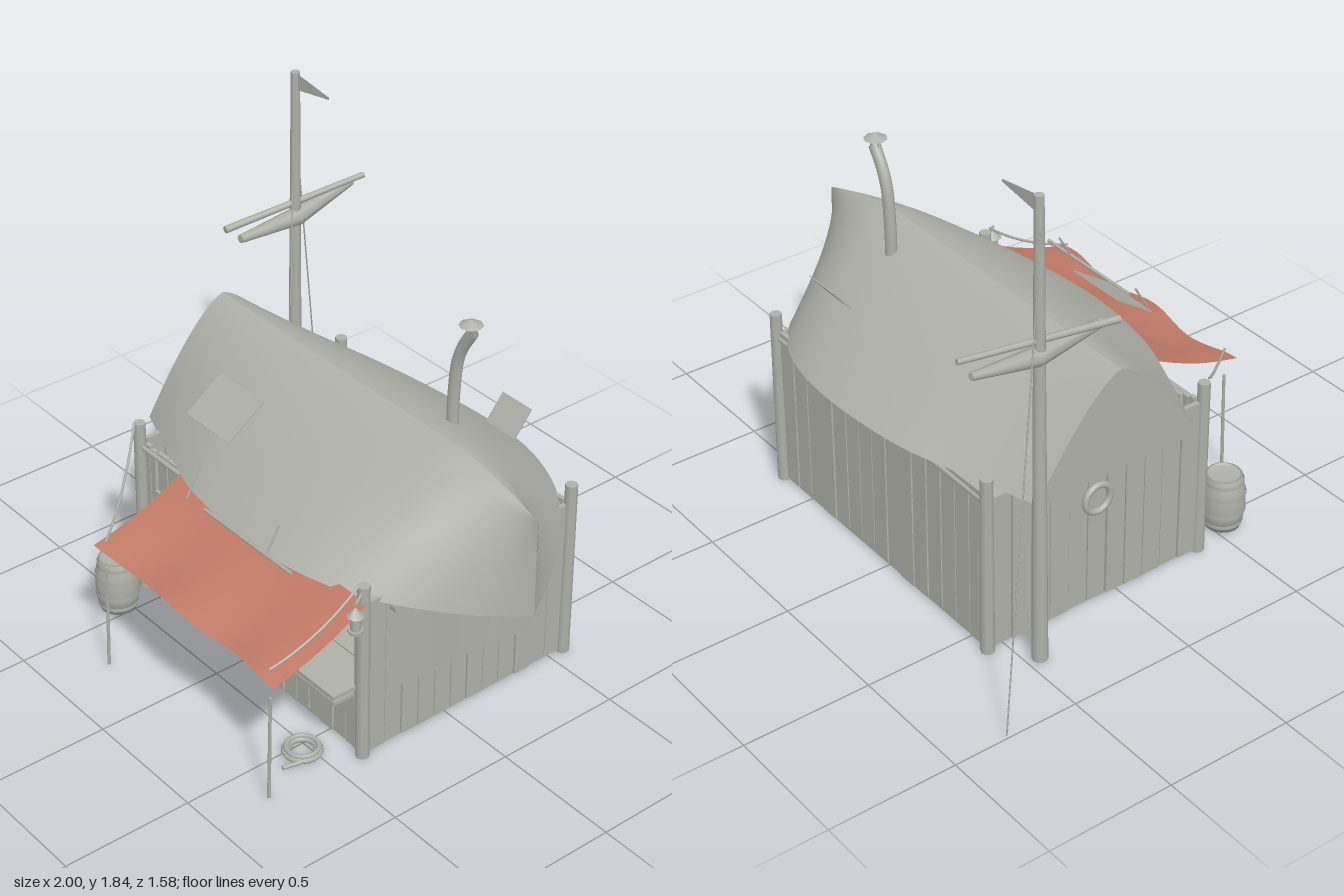
import * as THREE from 'three';

const grey = new THREE.MeshStandardMaterial({ name: 'weathered grey', color: 0xb0b0aa, side: THREE.DoubleSide });
const clay = new THREE.MeshStandardMaterial({ name: 'terracotta cloth', color: 0xc07a66, side: THREE.DoubleSide });
const V = (x, y, z) => new THREE.Vector3(x, y, z);

let seed = 7;
const rand = () => (seed = (seed * 16807) % 2147483647) / 2147483647;

function add(parent, name, geo, x = 0, y = 0, z = 0, mat = grey) {
  const m = new THREE.Mesh(geo, mat);
  m.name = name;
  m.position.set(x, y, z);
  parent.add(m);
  return m;
}
const box = (p, name, w, h, d, x, y, z) => add(p, name, new THREE.BoxGeometry(w, h, d), x, y, z);

// straight round bar between two points
function rod(p, name, a, b, r0, r1 = r0, sides = 8) {
  const d = b.clone().sub(a);
  const m = add(p, name, new THREE.CylinderGeometry(r1, r0, d.length(), sides));
  m.position.copy(a).lerp(b, 0.5);
  m.quaternion.setFromUnitVectors(V(0, 1, 0), d.normalize());
  return m;
}
function group(parent, name) {
  const g = new THREE.Group();
  g.name = name;
  parent.add(g);
  return g;
}
// surface from a rule f(u, v) on a grid
function sheet(f, nu, nv, flip = false) {
  const pos = [], idx = [];
  for (let i = 0; i <= nu; i++) for (let j = 0; j <= nv; j++) pos.push(...f(i / nu, j / nv));
  for (let i = 0; i < nu; i++) for (let j = 0; j < nv; j++) {
    const a = i * (nv + 1) + j, b = a + nv + 1;
    if (flip) idx.push(a, b, a + 1, b, b + 1, a + 1);
    else idx.push(a, a + 1, b, b, a + 1, b + 1);
  }
  const g = new THREE.BufferGeometry();
  g.setAttribute('position', new THREE.Float32BufferAttribute(pos, 3));
  g.setIndex(idx);
  g.computeVertexNormals();
  return g;
}
// row of uneven upright planks along x or z
function planks(parent, name, from, to, n, y0, y1, fixed, alongX) {
  const g = group(parent, name), w = (to - from) / n;
  for (let i = 0; i < n; i++) {
    const h = y1 - y0 - rand() * 0.02, c = from + (i + 0.5) * w, pw = w - 0.003 - rand() * 0.004;
    const off = fixed + (rand() - 0.5) * 0.008;
    if (alongX) box(g, 'plank', pw, h, 0.018, c, y0 + h / 2, off);
    else box(g, 'plank', 0.018, h, pw, off, y0 + h / 2, c);
  }
}

function buildHull(root) {
  const g = group(root, 'upturnedHull');
  // each station: x, height of the rim, half width
  const stations = new THREE.CatmullRomCurve3([
    V(-0.72, 0.64, 0.35), V(-0.4, 0.66, 0.475), V(-0.185, 0.67, 0.545), V(0.19, 0.675, 0.58),
    V(0.455, 0.665, 0.54), V(0.67, 0.64, 0.43), V(0.885, 0.59, 0.19), V(1, 0.563, 0.003)]);
  const at = (t, u, s) => {
    const p = stations.getPoint(t);
    const top = 1.045 - 0.095 * Math.pow(Math.max(0, (p.x - 0.58) / 0.42), 1.6);
    return [p.x, p.y + (top - p.y) * (1 - Math.pow(u, 1.45)), -0.1 + s * p.z * u];
  };
  for (const s of [1, -1])
    add(g, s > 0 ? 'hullFrontSide' : 'hullBackSide', sheet((t, u) => at(t, u, s), 40, 16, s < 0));
  // flat stern board
  add(g, 'transom', sheet((k, u) => at(0, u, 1 - 2 * k), 2, 16, true));
  // loose patch and raised hatch
  const patch = box(g, 'hullPatch', 0.245, 0.004, 0.19, -0.208, 0.947, 0.28);
  patch.rotation.x = Math.atan2(0.11, 0.16);
  const hatch = box(g, 'raisedHatch', 0.15, 0.004, 0.12, 0.425, 0.92, -0.493);
  hatch.rotation.x = Math.atan2(0.092, 0.074);
}

function buildHut(root) {
  const g = group(root, 'hut');
  for (const x of [-0.598, 0.68]) for (const z of [0.38, -0.568])
    rod(g, 'cornerPost', V(x, 0, z), V(x, 0.73, z), 0.026, 0.023, 8);
  for (const z of [0.38, -0.568]) rod(g, 'topRail', V(-0.6, 0.63, z), V(0.68, 0.63, z), 0.01);
  for (let i = 0; i < 9; i++) box(g, 'floorPlank', 1.26, 0.014, 0.1, 0.04, 0.012, -0.515 + i * 0.105);
  planks(g, 'backWall', -0.58, 0.66, 15, 0.01, 0.66, -0.56, true);
  planks(g, 'rightWall', -0.55, 0.36, 12, 0.01, 0.66, 0.675, false);
  planks(g, 'sternWall', -0.55, 0.36, 11, 0.01, 0.66, -0.595, false);
  planks(g, 'counterFront', -0.25, 0.66, 13, 0.01, 0.27, 0.37, true);
  planks(g, 'doorSidePlanks', -0.57, -0.51, 2, 0.01, 0.66, 0.37, true);
  planks(g, 'door', -0.51, -0.27, 4, 0.01, 0.65, 0.36, true);
  box(g, 'doorPost', 0.025, 0.64, 0.03, -0.26, 0.33, 0.37);
  box(g, 'windowPost', 0.025, 0.64, 0.03, 0.65, 0.33, 0.37);
  for (const y of [0.075, 0.465]) box(g, 'doorBatten', 0.24, 0.025, 0.012, -0.39, y, 0.377);
  add(g, 'doorPorthole', new THREE.TorusGeometry(0.033, 0.009, 8, 20), -0.39, 0.375, 0.378);
  const ring = add(g, 'sternPorthole', new THREE.TorusGeometry(0.055, 0.013, 8, 20), -0.61, 0.45, -0.1);
  ring.rotation.y = Math.PI / 2;
  // serving counter and its crates
  box(g, 'counterTop', 0.9, 0.018, 0.12, 0.2, 0.28, 0.425);
  box(g, 'counterLedge', 0.88, 0.016, 0.09, 0.2, 0.247, 0.43);
  for (const x of [-0.015, 0.22]) {
    box(g, 'crateBase', 0.14, 0.04, 0.06, x, 0.31, 0.445);
    box(g, 'crateLid', 0.16, 0.014, 0.07, x, 0.343, 0.445);
  }
  // cloth sheet pinned to the right wall
  add(g, 'wallSheet', sheet((u, v) => {
    const z = 0.27 - 0.69 * u + (u - 0.5) * 0.06 * v;
    return [0.696 + 0.004 * Math.sin(u * 9), 0.63 - v * (0.385 + 0.045 * u) - 0.02 * Math.sin(u * Math.PI) * (1 - v), z];
  }, 10, 6));
  for (const z of [0.245, -0.37]) rod(g, 'sheetPin', V(0.68, 0.595, z), V(0.712, 0.595, z), 0.024, 0.024, 10);
}

function buildAwning(root) {
  const g = group(root, 'awningAssembly');
  add(g, 'awning', sheet((u, v) => [
    -0.32 + 1.025 * u,
    0.67 - 0.16 * v - 0.018 * Math.sin(v * Math.PI) + 0.01 * v * Math.cos(u * 14),
    0.385 + 0.39 * v + 0.012 * v * Math.cos(u * 13)], 24, 8, true), 0, 0, 0, clay);
  const rope = (name, a, mid, b) =>
    add(g, name, new THREE.TubeGeometry(new THREE.QuadraticBezierCurve3(a, mid, b), 12, 0.005, 6));
  rope('awningRope', V(-0.6, 0.74, 0.4), V(-0.43, 0.58, 0.57), V(-0.28, 0.55, 0.76));
  rope('awningRope', V(0.68, 0.74, 0.4), V(0.68, 0.6, 0.57), V(0.655, 0.55, 0.76));
  for (const x of [-0.28, 0.66]) rod(g, 'awningPole', V(x, 0.01, 0.775), V(x, 0.435, 0.763), 0.007, 0.006, 6);
  // rail above the awning
  rod(g, 'awningRail', V(0, 0.735, 0.53), V(0.48, 0.735, 0.53), 0.007);
  for (const x of [-0.1, 0.345]) rod(g, 'railBracket', V(x, 0.73, 0.534), V(x, 0.83, 0.475), 0.004, 0.004, 6);
}

function buildMast(root) {
  const g = group(root, 'mastAssembly');
  rod(g, 'mast', V(-0.743, 0.005, -0.452), V(-0.723, 1.835, -0.452), 0.029, 0.017, 10);
  const flag = new THREE.Shape([new THREE.Vector2(0, 0.03), new THREE.Vector2(0, -0.035),
    new THREE.Vector2(0.18, -0.006), new THREE.Vector2(0.18, 0.004)]);
  add(g, 'pennant', new THREE.ShapeGeometry(flag), -0.712, 1.8, -0.452);
  rod(g, 'yard', V(-0.755, 1.277, -0.145), V(-0.7, 1.325, -0.757), 0.014, 0.011);
  // rolled sail, thickest in the middle
  const mid = V(-0.725, 1.24, -0.455);
  rod(g, 'furledSail', V(-0.703, 1.25, -0.175), mid, 0.016, 0.036);
  rod(g, 'furledSail', mid, V(-0.745, 1.285, -0.735), 0.036, 0.014);
  rod(g, 'outerStay', V(-0.74, 1.73, -0.455), V(-1, 0.015, -0.79), 0.003, 0.003, 5);
  rod(g, 'innerStay', V(-0.725, 1.62, -0.445), V(-0.6, 0.96, -0.325), 0.003, 0.003, 5);
}

function buildChimney(root) {
  const g = group(root, 'chimney');
  const path = new THREE.CatmullRomCurve3([V(0.418, 0.95, -0.232), V(0.42, 1.1, -0.232),
    V(0.435, 1.25, -0.232), V(0.46, 1.32, -0.232), V(0.505, 1.395, -0.232)]);
  add(g, 'stovePipe', new THREE.TubeGeometry(path, 20, 0.022, 10));
  for (const [dx, dz] of [[-0.018, 0], [0.018, 0], [0, 0.018], [0, -0.018]])
    rod(g, 'capLeg', V(0.5 + dx, 1.38, -0.232 + dz), V(0.498 + dx, 1.428, -0.232 + dz), 0.003, 0.003, 5);
  add(g, 'rainCap', new THREE.ConeGeometry(0.044, 0.022, 8), 0.497, 1.434, -0.232);
}

function buildProps(root) {
  const barrel = group(root, 'barrel');
  barrel.position.set(-0.545, 0.015, 0.545);
  const profile = [[0, 0], [0.068, 0], [0.08, 0.06], [0.083, 0.11], [0.08, 0.16], [0.068, 0.22], [0.06, 0.22], [0.06, 0.212], [0, 0.212]];
  add(barrel, 'barrelBody', new THREE.LatheGeometry(profile.map(p => new THREE.Vector2(...p)), 16));
  for (const [y, r] of [[0.025, 0.075], [0.075, 0.084], [0.147, 0.084], [0.197, 0.075]])
    add(barrel, 'barrelHoop', new THREE.CylinderGeometry(r, r, 0.014, 16, 1, true), 0, y, 0);
  // rope coil on the ground
  const coil = group(root, 'ropeCoil');
  for (const [r, y] of [[0.065, 0.011], [0.05, 0.013], [0.058, 0.024]])
    add(coil, 'coilTurn', new THREE.TorusGeometry(r, 0.01, 6, 20), 0.535, y, 0.53).rotation.x = Math.PI / 2;
  rod(coil, 'ropeTail', V(0.59, 0.01, 0.56), V(0.57, 0.01, 0.645), 0.008);
  // hanging lantern beside the front post
  const lamp = group(root, 'lantern');
  rod(lamp, 'lanternBracket', V(0.68, 0.71, 0.38), V(0.722, 0.71, 0.45), 0.006);
  lamp.add(rod(lamp, 'lanternGlass', V(0.722, 0.6, 0.45), V(0.722, 0.665, 0.45), 0.018, 0.018, 8));
  add(lamp, 'lanternBase', new THREE.CylinderGeometry(0.026, 0.026, 0.012, 8), 0.722, 0.6, 0.45);
  add(lamp, 'lanternCap', new THREE.ConeGeometry(0.032, 0.035, 8), 0.722, 0.68, 0.45);
}

export function createModel() {
  const root = new THREE.Group();
  root.name = 'boatRoofedStall';
  for (const build of [buildHull, buildHut, buildAwning, buildMast, buildChimney, buildProps]) build(root);
  return root;
}
